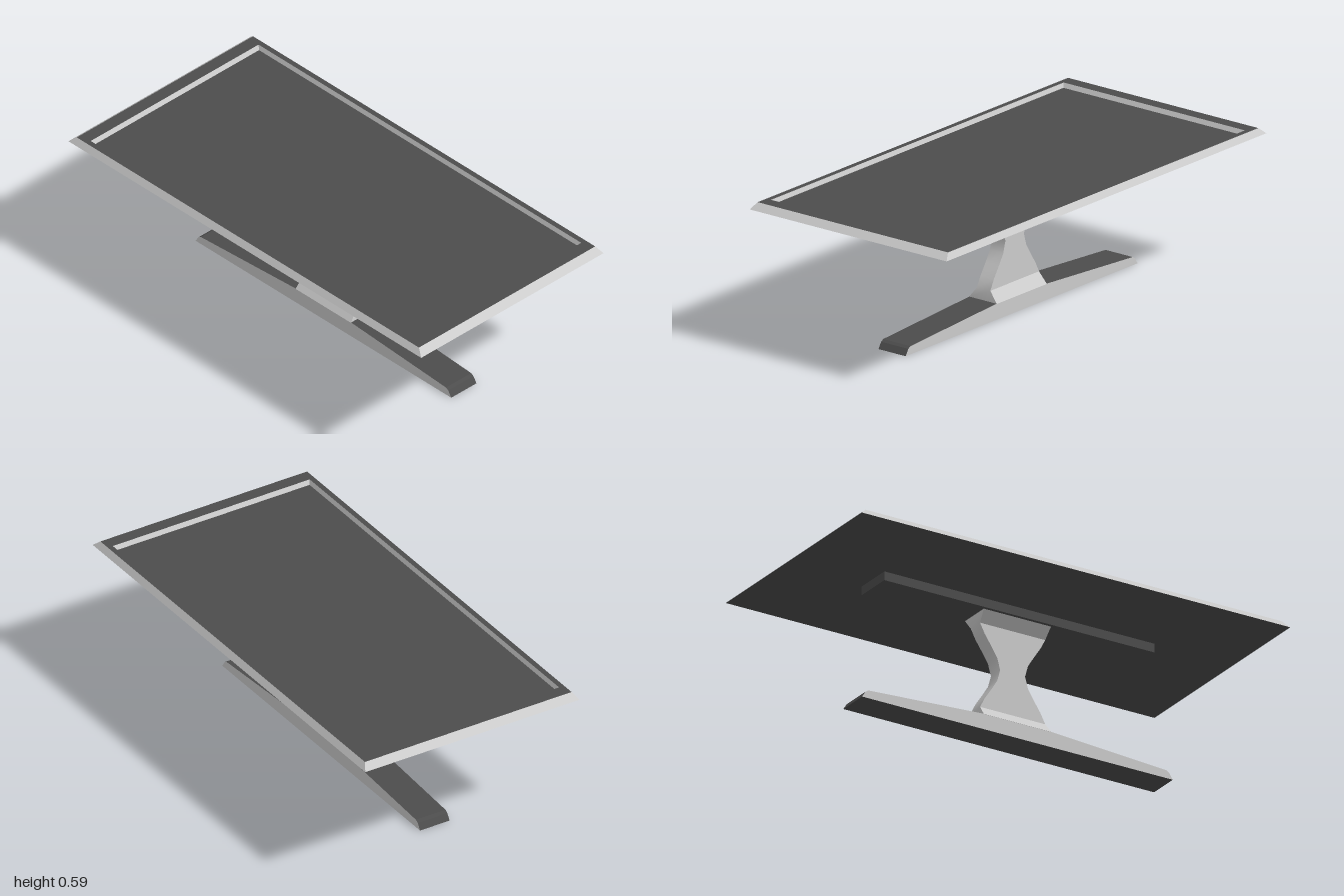
import * as THREE from 'three';
import { toCreasedNormals } from 'three/addons/utils/BufferGeometryUtils.js';

const grey = new THREE.MeshStandardMaterial({ color: 0xcccccc });
const dark = new THREE.MeshStandardMaterial({ color: 0x4c4c4c });

// Skin a stack of rectangles, each given as [half width, y, half depth].
function loft(sections, { bottom = false, top = false } = {}) {
  const pos = [];
  const rings = sections.map(([x, y, z]) => [[-x, y, z], [x, y, z], [x, y, -z], [-x, y, -z]]);
  const quad = (a, b, c, d) => pos.push(...a, ...b, ...c, ...a, ...c, ...d);
  for (let s = 0; s < rings.length - 1; s++) {
    for (let i = 0; i < 4; i++) {
      const j = (i + 1) % 4;
      quad(rings[s][i], rings[s][j], rings[s + 1][j], rings[s + 1][i]);
    }
  }
  if (bottom) quad(...[...rings[0]].reverse());
  if (top) quad(...rings[rings.length - 1]);
  const geometry = new THREE.BufferGeometry();
  geometry.setAttribute('position', new THREE.Float32BufferAttribute(pos, 3));
  return toCreasedNormals(geometry, 0.6);
}

export function createModel() {
  const model = new THREE.Group();
  model.name = 'pedestalTable';
  const add = (parent, name, geometry, material) => {
    const mesh = new THREE.Mesh(geometry, material);
    mesh.name = name;
    parent.add(mesh);
    return mesh;
  };

  // Tabletop: bevelled slab with a raised border around a sunken panel
  const tabletop = new THREE.Group();
  tabletop.name = 'tabletop';
  model.add(tabletop);
  const under = [1, 0.562, 0.5];
  const rim = [0.97, 0.588, 0.483];
  const lip = [0.915, 0.588, 0.46];
  const floor = [0.905, 0.57, 0.453];
  add(tabletop, 'underside', loft([under], { bottom: true }), dark);
  add(tabletop, 'bevelledEdge', loft([under, rim]), grey);
  add(tabletop, 'border', loft([rim, lip]), dark);
  add(tabletop, 'innerLip', loft([lip, floor]), grey);
  add(tabletop, 'panel', loft([floor], { top: true }), dark);

  // Support beam beneath the top
  const beam = add(model, 'supportBeam', new THREE.BoxGeometry(1.26, 0.038, 0.168), dark);
  beam.position.y = 0.543;

  // Waisted column, flared at both ends
  add(model, 'column', loft([
    [0.157, 0.066, 0.07],
    [0.152, 0.112, 0.034],
    [0.13, 0.155, 0.034],
    [0.1, 0.2, 0.034],
    [0.072, 0.245, 0.034],
    [0.058, 0.295, 0.034],
    [0.072, 0.345, 0.034],
    [0.1, 0.39, 0.034],
    [0.13, 0.435, 0.034],
    [0.152, 0.478, 0.034],
    [0.157, 0.525, 0.07],
  ], { bottom: true, top: true }), grey);

  // Long foot tapering toward its ends: grey faces, dark top, ends and underside
  const half = [[0.725, 0], [0.708, 0.026], [0.695, 0.034], [0.157, 0.067]];
  const outline = [...half, ...half.map(([x, y]) => [-x, y]).reverse()];
  const shape = new THREE.Shape(outline.map(([x, y]) => new THREE.Vector2(x, y)));
  const foot = new THREE.ExtrudeGeometry(shape, { depth: 0.138, bevelEnabled: false });
  foot.translate(0, 0, -0.069);
  add(model, 'foot', foot, [grey, dark]);

  return model;
}
